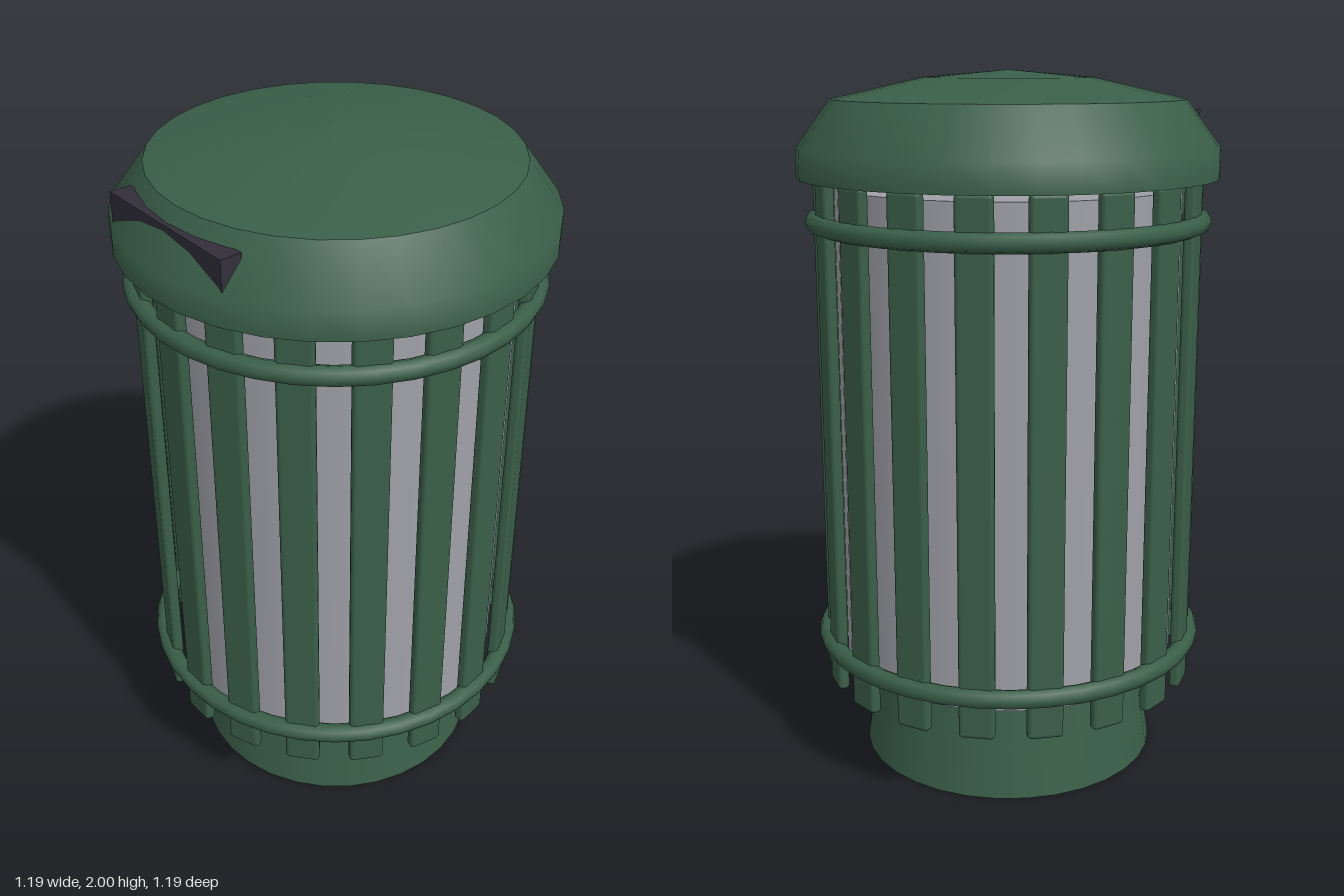
import * as THREE from 'three';
import { RoundedBoxGeometry } from 'three/addons/geometries/RoundedBoxGeometry.js';

const SIDES = 32;
const SLATS = 18;

function material(name, color) {
  const m = new THREE.MeshStandardMaterial({ color });
  m.name = name;
  return m;
}

export function createModel() {
  const green = material('green paint', 0x3a5f48);
  const grey = material('grey liner', 0xa0a1a8);
  const dark = material('dark opening', 0x322f3a);

  const model = new THREE.Group();
  model.name = 'litterBin';

  function add(name, geometry, mat, parent = model) {
    const mesh = new THREE.Mesh(geometry, mat);
    mesh.name = name;
    parent.add(mesh);
    return mesh;
  }

  const lathe = (points) =>
    new THREE.LatheGeometry(points.map(([r, y]) => new THREE.Vector2(r, y)), SIDES);

  // Tapered foot
  add('base', new THREE.CylinderGeometry(0.39, 0.435, 0.3, SIDES), green).position.y = 0.15;

  // Inner container
  add('liner', new THREE.CylinderGeometry(0.49, 0.49, 1.385, SIDES), grey).position.y = 0.9925;

  // Ring of upright slats
  const slats = new THREE.Group();
  slats.name = 'slats';
  model.add(slats);
  const slatGeometry = new RoundedBoxGeometry(0.1, 1.47, 0.033, 2, 0.012);
  for (let i = 0; i < SLATS; i++) {
    const angle = (i / SLATS) * Math.PI * 2;
    const slat = add('slat', slatGeometry, green, slats);
    slat.position.set(Math.sin(angle) * 0.531, 0.975, Math.cos(angle) * 0.531);
    slat.rotation.y = angle;
  }

  // Hoops holding the slats
  const hoopGeometry = new THREE.TorusGeometry(0.547, 0.027, 8, 36);
  for (const [name, y] of [['lowerHoop', 0.363], ['upperHoop', 1.59]]) {
    const hoop = add(name, hoopGeometry, green);
    hoop.rotation.x = Math.PI / 2;
    hoop.position.y = y;
  }

  // Lid: underside, sloped skirt and shallow dome, with a crisp edge between them
  const lid = new THREE.Group();
  lid.name = 'lid';
  model.add(lid);
  add('lidUnderside', lathe([[0, 1.71], [0.593, 1.71]]), green, lid);
  add('lidSkirt', lathe([[0.593, 1.71], [0.593, 1.79], [0.495, 1.922]]), green, lid);
  add('lidDome', lathe([[0.495, 1.922], [0.24, 1.98], [0, 2]]), green, lid);

  // Opening block set into the front slope of the lid
  add('opening', new THREE.BoxGeometry(0.472, 0.145, 0.06), dark, lid).position.set(0, 1.8125, 0.505);

  return model;
}
